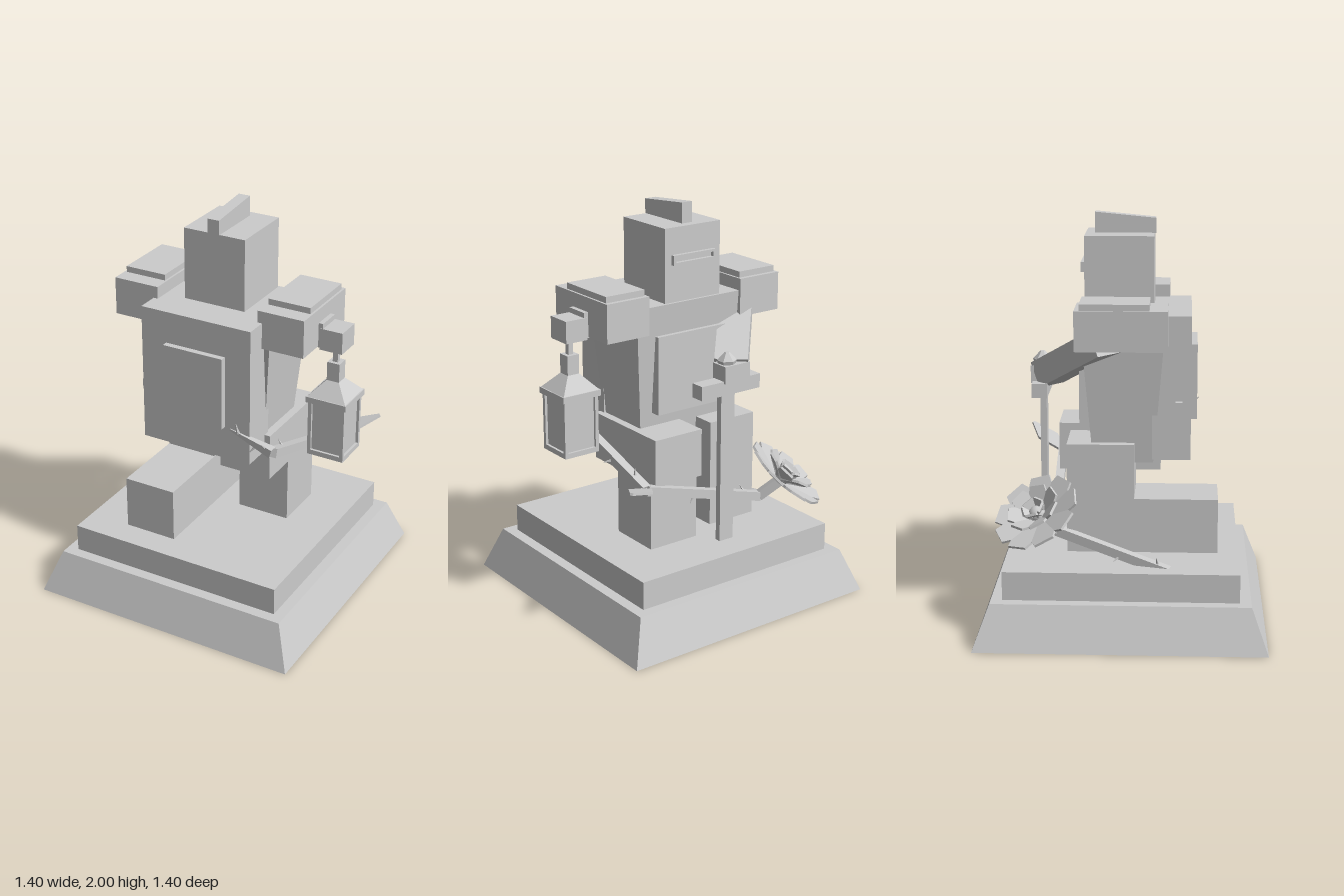
import * as THREE from 'three';

const stone = new THREE.MeshStandardMaterial({ color: 0xcccccc });
stone.name = 'pale stone';
const V = (x, y, z) => new THREE.Vector3(x, y, z);

export function createModel() {
  const root = new THREE.Group();

  const add = (name, geometry, parent = root) => {
    const mesh = new THREE.Mesh(geometry, stone);
    mesh.name = name;
    parent.add(mesh);
    return mesh;
  };
  // Box given by its limits on each axis
  const block = (name, x0, x1, y0, y1, z0, z1, parent) =>
    add(name, new THREE.BoxGeometry(x1 - x0, y1 - y0, z1 - z0)
      .translate((x0 + x1) / 2, (y0 + y1) / 2, (z0 + z1) / 2), parent);
  // Box whose top and bottom differ in size
  const taper = (name, y0, y1, bx, bz, tx, tz, parent) => {
    const g = new THREE.BoxGeometry(2, y1 - y0, 2).translate(0, (y0 + y1) / 2, 0);
    const p = g.attributes.position;
    for (let i = 0; i < p.count; i++) {
      const top = p.getY(i) > (y0 + y1) / 2;
      p.setX(i, p.getX(i) * (top ? tx : bx));
      p.setZ(i, p.getZ(i) * (top ? tz : bz));
    }
    g.computeVertexNormals();
    return add(name, g, parent);
  };
  // Square beam between two points, optionally narrowing at the end
  const beam = (name, a, b, w, h, endScale = 1, parent = root) => {
    const len = a.distanceTo(b);
    const g = new THREE.BoxGeometry(w, h, len).translate(0, 0, len / 2);
    const p = g.attributes.position;
    for (let i = 0; i < p.count; i++) {
      if (p.getZ(i) > len / 2) p.setXY(i, p.getX(i) * endScale, p.getY(i) * endScale);
    }
    g.computeVertexNormals();
    const m = add(name, g, parent);
    m.position.copy(a);
    m.lookAt(b);
    return m;
  };

  // Pedestal
  taper('pedestalBase', 0, 0.215, 0.7, 0.7, 0.62, 0.62);
  block('pedestalSlab', -0.565, 0.565, 0.215, 0.355, -0.565, 0.565);

  // Legs: one kneeling, one bent with the foot planted
  block('kneelingShin', -0.325, -0.055, 0.38, 0.65, -0.2, 0.46);
  block('kneelingThigh', -0.325, -0.055, 0.38, 0.92, -0.27, 0.055);
  block('plantedShin', 0.05, 0.325, 0.355, 0.69, -0.295, -0.02);
  block('plantedThigh', 0.05, 0.325, 0.69, 0.93, -0.335, 0.175);

  // Torso with chest plate and pack
  taper('torso', 0.82, 1.54, 0.275, 0.145, 0.335, 0.205);
  block('chestPlate', -0.22, 0.22, 1.0, 1.39, -0.215, -0.13);
  block('pack', -0.295, 0.295, 0.84, 1.54, 0.14, 0.325);
  block('packPanel', -0.16, 0.16, 1.01, 1.38, 0.32, 0.355);
  block('packKnob', -0.325, -0.29, 1.09, 1.13, 0.25, 0.285);

  // Head, visor slit frame and sloped crest
  block('head', -0.163, 0.163, 1.5, 1.9, -0.19, 0.143);
  block('visorTop', -0.125, 0.125, 1.758, 1.77, -0.21, -0.18);
  block('visorBottom', -0.125, 0.125, 1.722, 1.734, -0.21, -0.18);
  for (const s of [-1, 1]) block('visorEnd', s * 0.118 - 0.007, s * 0.118 + 0.007, 1.722, 1.77, -0.21, -0.18);
  const crest = new THREE.Shape([[-0.15, 1.9], [0.145, 1.9], [0.145, 2.0], [-0.15, 1.972]]
    .map(([x, y]) => new THREE.Vector2(x, y)));
  add('crest', new THREE.ExtrudeGeometry(crest, { depth: 0.06, bevelEnabled: false })
    .translate(0, 0, -0.03).rotateY(Math.PI / 2));

  // Shoulders
  for (const s of [-1, 1]) {
    const x = s * 0.392;
    block('shoulder', x - 0.12, x + 0.12, 1.41, 1.6, -0.218, 0.215);
    block('shoulderCap', x - 0.109, x + 0.109, 1.6, 1.63, -0.195, 0.13);
  }

  // Lantern arm and lantern
  block('lanternArm', 0.45, 0.535, 1.405, 1.53, -0.062, 0.062);
  block('lanternHand', 0.52, 0.637, 1.397, 1.505, -0.065, 0.065);
  const lantern = new THREE.Group();
  lantern.name = 'lantern';
  lantern.position.set(0.58, 0, 0);
  root.add(lantern);
  block('hangingRod', -0.013, 0.013, 1.32, 1.4, -0.013, 0.013, lantern);
  block('lanternNeck', -0.032, 0.032, 1.23, 1.325, -0.032, 0.032, lantern);
  taper('lanternRoof', 1.155, 1.23, 0.1, 0.1, 0.032, 0.032, lantern);
  block('lanternEave', -0.105, 0.105, 1.125, 1.155, -0.105, 0.105, lantern);
  block('lanternGlass', -0.082, 0.082, 0.865, 1.125, -0.082, 0.082, lantern);
  block('lanternFloor', -0.095, 0.095, 0.843, 0.868, -0.095, 0.095, lantern);
  for (const x of [-0.086, 0.086]) for (const z of [-0.086, 0.086]) {
    block('lanternPost', x - 0.009, x + 0.009, 0.865, 1.125, z - 0.009, z + 0.009, lantern);
  }

  // Sword arm and sword standing point down
  beam('swordArm', V(-0.36, 1.43, -0.08), V(-0.09, 1.22, -0.38), 0.16, 0.13);
  block('swordHand', -0.145, 0.005, 1.18, 1.265, -0.455, -0.36);
  block('swordGuard', -0.215, 0.135, 1.12, 1.19, -0.445, -0.37);
  block('swordBlade', -0.085, -0.003, 0.355, 1.12, -0.416, -0.385);
  const pommel = new THREE.CylinderGeometry(0.012, 0.048, 0.04, 6).toNonIndexed();
  pommel.computeVertexNormals();
  add('pommel', pommel).position.set(-0.043, 1.3, -0.405);
  const collar = new THREE.CylinderGeometry(0.048, 0.04, 0.03, 6).toNonIndexed();
  collar.computeVertexNormals();
  add('pommelCollar', collar).position.set(-0.043, 1.267, -0.405);

  // Thorny stem winding around the figure
  const path = [V(-0.53, 0.27, 0.45), V(-0.32, 0.49, -0.33), V(0.39, 0.7, -0.345),
    V(0.42, 0.945, 0.33), V(0.19, 1.005, 0.325)];
  path.slice(1).forEach((b, i) => {
    const a = path[i];
    beam('stem', a, b, 0.045, 0.045, i === 3 ? 0.2 : 1);
    const dir = b.clone().sub(a).normalize();
    const side = dir.clone().cross(V(0, 1, 0)).normalize();
    const up = side.clone().cross(dir);
    for (let k = 0; k < 4; k++) {
      const angle = k * 1.9 + i * 0.8;
      const out = side.clone().multiplyScalar(Math.cos(angle)).addScaledVector(up, Math.sin(angle));
      const p = a.clone().lerp(b, 0.12 + k * 0.23);
      beam('thorn', p, p.clone().addScaledVector(out, 0.055).addScaledVector(dir, 0.02), 0.016, 0.016, 0.1);
    }
  });
  beam('flowerStalk', path[1], V(-0.4, 0.57, -0.39), 0.045, 0.045);

  // Thin petal or leaf outline: base, widest part, tip; running along +y
  const blade = (len, base, wide, tip, wideAt) => {
    const half = [[base, 0], [wide, len * wideAt], [tip, len]];
    const pts = [...half, ...half.map(([x, y]) => [-x, y]).reverse()];
    return new THREE.ExtrudeGeometry(new THREE.Shape(pts.map(([x, y]) => new THREE.Vector2(x, y))),
      { depth: 0.012, bevelEnabled: false }).translate(0, 0, -0.006);
  };

  // Leaf growing at the stem's bend
  const leafDir = V(0.225, 0.09, -0.175).normalize();
  const leafSide = leafDir.clone().cross(V(0, 1, 0)).normalize();
  const leaf = add('leaf', blade(0.3, 0.012, 0.06, 0.008, 0.5));
  leaf.position.set(0.37, 0.7, -0.345);
  leaf.quaternion.setFromRotationMatrix(
    new THREE.Matrix4().makeBasis(leafSide, leafDir, leafSide.clone().cross(leafDir)));

  // Large flower with three rings of petals
  const flower = new THREE.Group();
  flower.name = 'flower';
  flower.position.set(-0.4, 0.57, -0.39);
  flower.quaternion.setFromUnitVectors(V(0, 1, 0), V(-0.5, 0.77, -0.4).normalize());
  root.add(flower);
  const rings = [[9, 0.22, 0.27, 0.066], [7, 0.155, 0.6, 0.05], [5, 0.095, 1.0, 0.036]];
  rings.forEach(([count, len, tilt, wide], r) => {
    for (let i = 0; i < count; i++) {
      const g = blade(len, 0.025, wide, wide * 0.75, 0.72).rotateX(Math.PI / 2 - tilt);
      const petal = add('petal', g, flower);
      petal.rotation.y = (i / count) * Math.PI * 2 + r * 0.4;
      petal.position.y = r * 0.008;
    }
  });
  add('flowerHeart', new THREE.SphereGeometry(0.045, 10, 8), flower).position.y = 0.035;

  return root;
}
